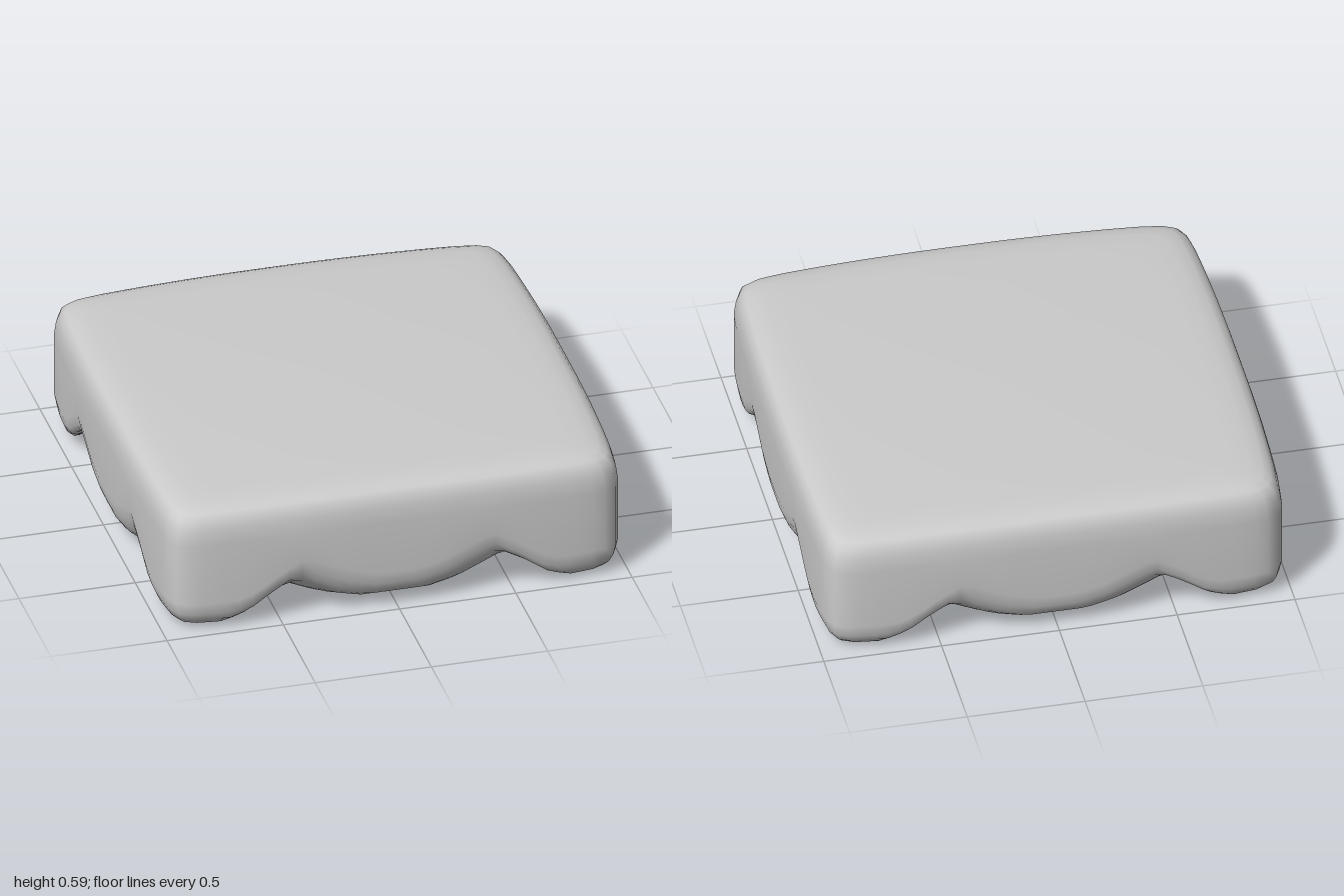
import * as THREE from 'three';

// Piecewise-linear interpolation through [x, y] pairs
function ramp(pairs, x) {
  if (x <= pairs[0][0]) return pairs[0][1];
  for (let i = 1; i < pairs.length; i++) {
    const [x0, y0] = pairs[i - 1], [x1, y1] = pairs[i];
    if (x <= x1) return y0 + (y1 - y0) * (x - x0) / (x1 - x0);
  }
  return pairs[pairs.length - 1][1];
}

// Plan outline: a bowed square with softened corners
function outline(perSide) {
  const bow = [[0, 1], [0.22, 1], [0.43, 0.997], [0.65, 0.99], [0.8, 0.982], [0.91, 0.967], [0.945, 0.945]];
  const points = [];
  for (let side = 0; side < 4; side++) {
    const a = side * Math.PI / 2, c = Math.cos(a), s = Math.sin(a);
    for (let i = 0; i < perSide; i++) {
      const t = 0.945 * (2 * i / perSide - 1);
      const r = ramp(bow, Math.abs(t));
      points.push([r * c - t * s, r * s + t * c]);
    }
  }
  return points;
}

// Underside: flat belly, diagonal valleys, then four corner feet
const underside = [[1.08, 0.05], [1.2, 0.08], [1.4, 0.17], [1.5, 0.11], [1.6, 0.035], [1.68, 0.005]];
const bottomY = (x, z) => ramp(underside, Math.abs(x) + Math.abs(z));
const topY = (x, z) => 0.6 - 0.018 * (x * x + z * z);

function createBody() {
  const plan = outline(36), n = plan.length;
  // Rings as [scale, edge roll]; from the top centre over the rim
  const topRings = [[0.2, 0], [0.45, 0], [0.65, 0], [0.8, 0], [0.88, 0.002], [0.93, 0.01],
    [0.96, 0.022], [0.98, 0.045], [0.992, 0.085], [1, 0.15]];
  // From the lower edge in to the bottom centre
  const bottomRings = [[1, 0.14], [0.99, 0.085], [0.975, 0.05], [0.955, 0.026], [0.93, 0.012], [0.9, 0.004]];
  for (let k = 0.87; k > 0.5; k -= 0.03) bottomRings.push([k, 0]);
  bottomRings.push([0.35, 0], [0.15, 0]);

  const pos = [0, topY(0, 0), 0];
  const addRings = (rings, height, sign) => {
    for (const [k, roll] of rings) {
      for (const [px, pz] of plan) {
        const x = px * k, z = pz * k;
        pos.push(x, height(x, z) + sign * roll, z);
      }
    }
  };
  addRings(topRings, topY, -1);
  addRings(bottomRings, bottomY, 1);
  pos.push(0, bottomY(0, 0), 0);

  // Stitch the rings and close both centres
  const index = [], rows = topRings.length + bottomRings.length, last = rows * n + 1;
  for (let i = 0; i < n; i++) {
    const j = (i + 1) % n;
    index.push(0, 1 + j, 1 + i);
    for (let r = 0; r < rows - 1; r++) {
      const a = 1 + r * n + i, b = 1 + r * n + j;
      index.push(a, b, a + n, b, b + n, a + n);
    }
    index.push(last, last - n + i, last - n + j);
  }
  const geometry = new THREE.BufferGeometry();
  geometry.setAttribute('position', new THREE.Float32BufferAttribute(pos, 3));
  geometry.setIndex(index);
  geometry.computeVertexNormals();
  return geometry;
}

export function createModel() {
  const group = new THREE.Group();
  group.name = 'footedSlab';
  const body = new THREE.Mesh(createBody(), new THREE.MeshStandardMaterial({ color: 0xcccccc }));
  body.name = 'slabWithCornerFeet';
  group.add(body);
  return group;
}
